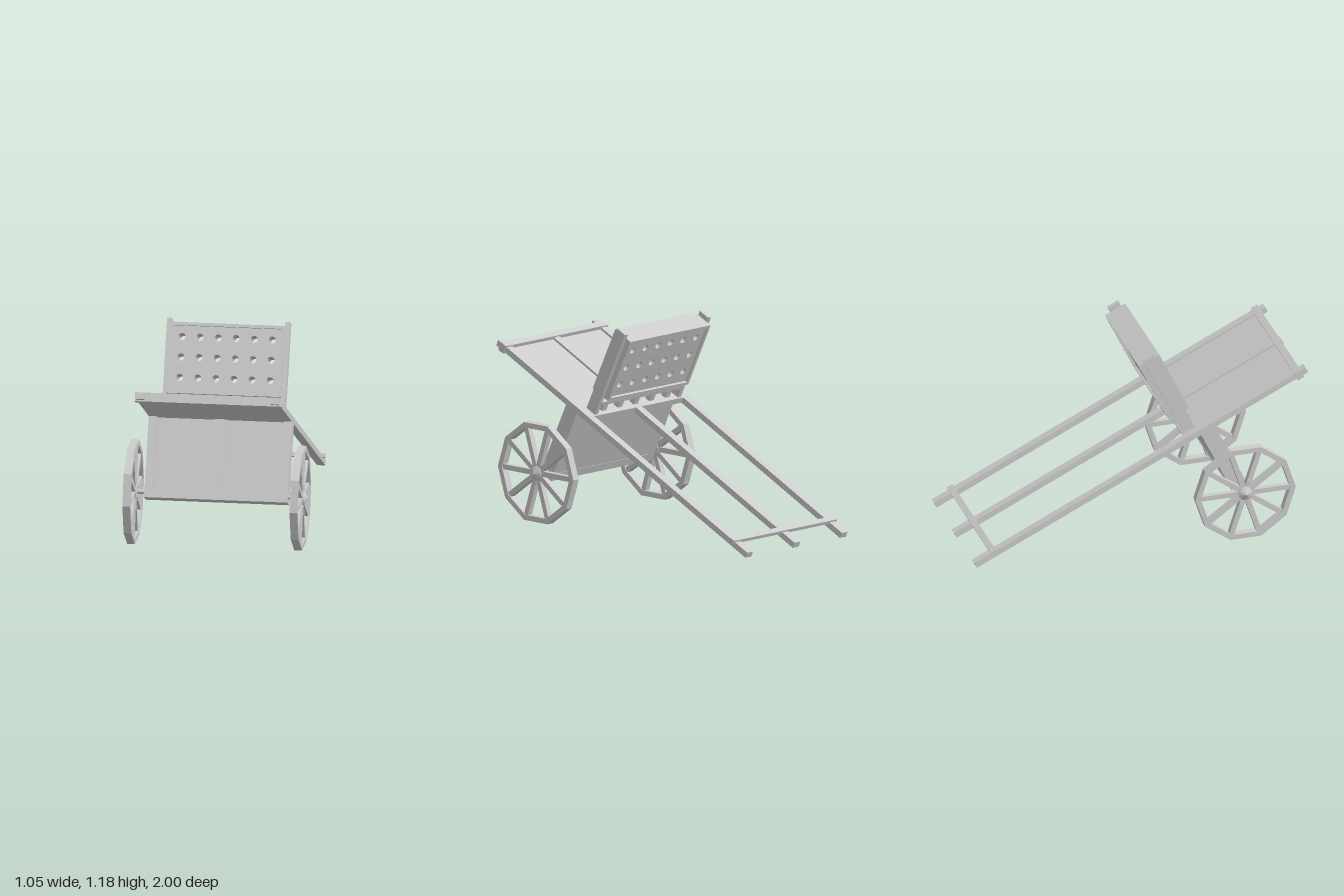
import * as THREE from 'three';

const TILT = 0.45;
const mat = new THREE.MeshStandardMaterial({ color: 0xcccccc, flatShading: true });

function add(parent, name, geometry) {
  const mesh = new THREE.Mesh(geometry, mat);
  mesh.name = name;
  parent.add(mesh);
  return mesh;
}

// Box given by its limits along each axis
function slab(parent, name, x0, x1, y0, y1, z0, z1) {
  const mesh = add(parent, name, new THREE.BoxGeometry(x1 - x0, y1 - y0, z1 - z0));
  mesh.position.set((x0 + x1) / 2, (y0 + y1) / 2, (z0 + z1) / 2);
  return mesh;
}

// The same box on both sides
function pair(parent, name, x0, x1, ...rest) {
  slab(parent, name + 'Left', x0, x1, ...rest);
  slab(parent, name + 'Right', -x1, -x0, ...rest);
}

// Ten-sided spoked wheel, axle along x
function makeWheel(name, side) {
  const wheel = new THREE.Group();
  wheel.name = name;
  const R = 0.3, r = 0.268, T = 0.045;
  const ring = (rad) => Array.from({ length: 10 }, (_, i) =>
    new THREE.Vector2(Math.cos(i * Math.PI / 5) * rad, Math.sin(i * Math.PI / 5) * rad));
  const shape = new THREE.Shape(ring(R));
  shape.holes.push(new THREE.Path(ring(r)));
  const rim = new THREE.ExtrudeGeometry(shape, { depth: T, bevelEnabled: false });
  rim.translate(0, 0, -T / 2).rotateY(Math.PI / 2);
  add(wheel, 'rim', rim);
  for (let i = 0; i < 10; i++) {
    const spoke = new THREE.BoxGeometry(0.034, 0.25, 0.03);
    spoke.translate(0, 0.148, 0).rotateX(Math.PI / 2 + i * Math.PI / 5);
    add(wheel, 'spoke', spoke);
  }
  const hub = add(wheel, 'hub', new THREE.CylinderGeometry(0.042, 0.042, T, 12));
  hub.rotation.z = Math.PI / 2;
  const cap = add(wheel, 'hubCap', new THREE.ConeGeometry(0.042, 0.022, 12));
  cap.rotation.z = -side * Math.PI / 2;
  cap.position.x = side * (T / 2 + 0.011);
  wheel.position.set(side * 0.482, 0.285, 0.6);
  return wheel;
}

export function createModel() {
  const model = new THREE.Group();
  model.name = 'handCart';
  const body = new THREE.Group();
  body.name = 'tiltedBody';
  body.rotation.x = -TILT;
  model.add(body);

  // Long shafts with their cross bars
  pair(body, 'shaft', 0.365, 0.413, 0.43, 0.465, -0.88, 1.32);
  slab(body, 'middleShaft', -0.024, 0.024, 0.43, 0.465, -0.88, 1.294);
  slab(body, 'frontCrossBar', -0.423, 0.423, 0.422, 0.474, 1.245, 1.288);
  slab(body, 'handleCrossBar', -0.425, 0.425, 0.455, 0.476, -0.771, -0.735);

  // Table top between the shafts
  pair(body, 'tablePanel', 0.02, 0.37, 0.43, 0.452, 0.6, 1.25);
  slab(body, 'tableBackRail', -0.413, 0.413, 0.43, 0.4655, 0.52, 0.61);

  // Shallow chest below
  slab(body, 'chestBoard', -0.38, 0.38, -0.03, 0.435, 0.612, 0.662);
  pair(body, 'chestStile', 0.365, 0.413, -0.04, 0.435, 0.61, 0.704);
  slab(body, 'chestBottomRail', -0.413, 0.413, -0.04, 0.01, 0.61, 0.704);
  slab(body, 'chestMiddleStile', -0.033, 0.033, 0, 0.435, 0.65, 0.69);

  // Backrest posts, rail and slats
  pair(body, 'backPost', 0.328, 0.354, 0.46, 1.02, 0.531, 0.603);
  slab(body, 'backLowerRail', -0.335, 0.335, 0.53, 0.552, 0.525, 0.61);
  for (let i = -2; i <= 2; i++) {
    slab(body, 'backSlat', i * 0.13 - 0.018, i * 0.13 + 0.018, 0.46, 0.59, 0.55, 0.585);
  }

  // Backrest frame around a board with three rows of holes
  pair(body, 'backFrameSide', 0.312, 0.33, 0.58, 0.992, 0.495, 0.63);
  slab(body, 'backFrameTop', -0.33, 0.33, 0.974, 0.992, 0.495, 0.63);
  slab(body, 'backFrameBottom', -0.33, 0.33, 0.58, 0.598, 0.495, 0.63);
  const board = new THREE.Shape([[-0.32, 0.585], [0.32, 0.585], [0.32, 0.985], [-0.32, 0.985]]
    .map(([x, y]) => new THREE.Vector2(x, y)));
  for (let row = 0; row < 3; row++) {
    for (let col = 0; col < 6; col++) {
      const hole = new THREE.Path();
      hole.absarc((col - 2.5) * 0.104, 0.674 + row * 0.118, 0.021, 0, Math.PI * 2, true);
      board.holes.push(hole);
    }
  }
  const boardGeo = new THREE.ExtrudeGeometry(board, { depth: 0.105, bevelEnabled: false, curveSegments: 12 });
  boardGeo.translate(0, 0, 0.51);
  add(body, 'perforatedBoard', boardGeo);

  // Axle and wheels
  const axle = add(model, 'axle', new THREE.CylinderGeometry(0.013, 0.013, 0.96, 10));
  axle.rotation.z = Math.PI / 2;
  axle.position.set(0, 0.287, 0.6);
  model.add(makeWheel('leftWheel', 1), makeWheel('rightWheel', -1));
  return model;
}
